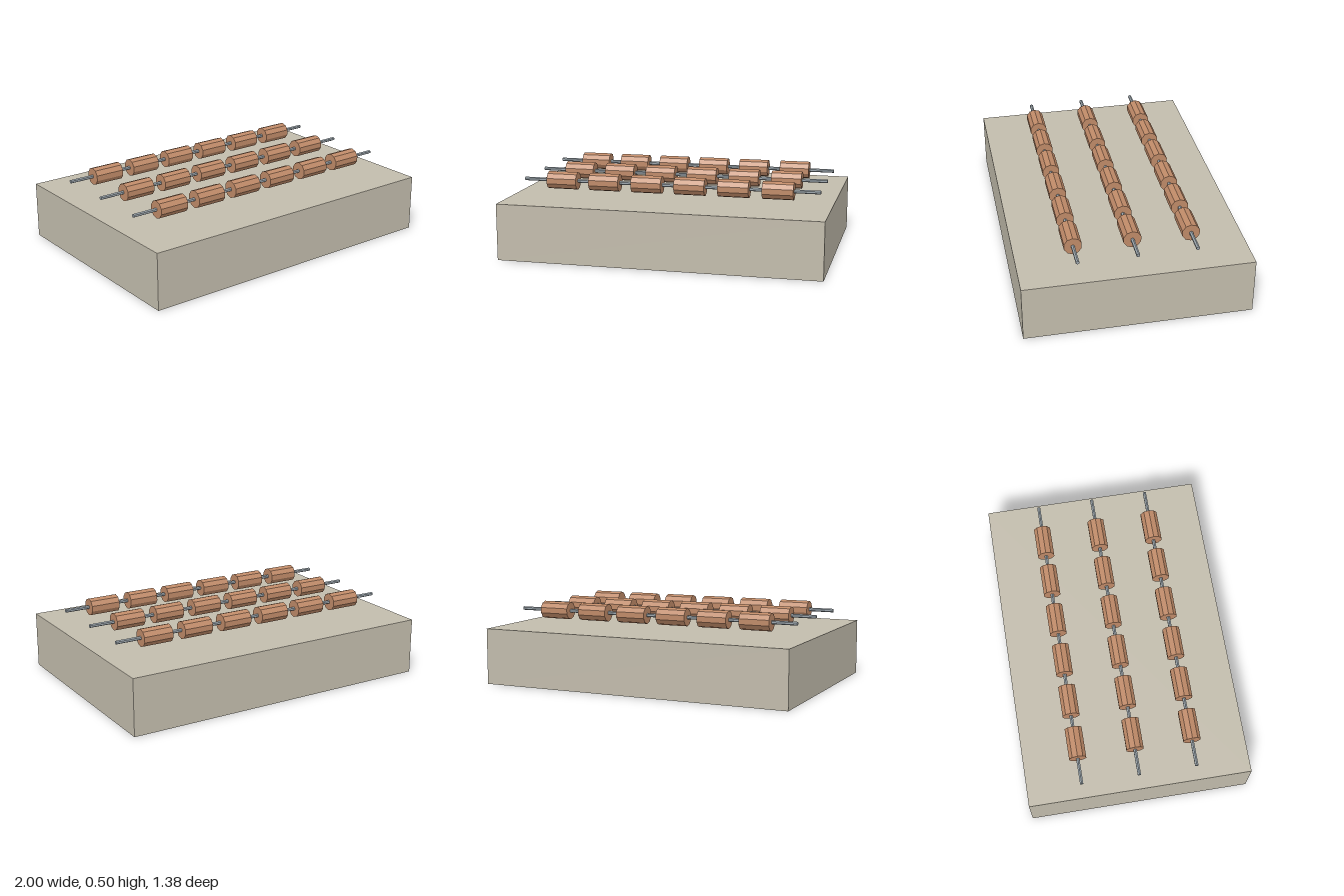
import * as THREE from 'three';

const stone = new THREE.MeshStandardMaterial({ name: 'warm grey', color: 0xc2bcac });
const copper = new THREE.MeshStandardMaterial({ name: 'copper', color: 0xbf8a68 });
const steel = new THREE.MeshStandardMaterial({ name: 'steel', color: 0x9ca6ad });
copper.flatShading = true;
steel.flatShading = true;

// Faceted cylinder lying along x with a corner pointing straight up
function lyingCylinder(radius, length, sides) {
  return new THREE.CylinderGeometry(radius, radius, length, sides)
    .rotateZ(Math.PI / 2)
    .rotateX(-Math.PI / 2);
}

export function createModel() {
  const model = new THREE.Group();
  model.name = 'rollerBed';

  function add(parent, name, geometry, material, x, y, z) {
    const mesh = new THREE.Mesh(geometry, material);
    mesh.name = name;
    mesh.position.set(x, y, z);
    parent.add(mesh);
  }

  // Solid base block
  add(model, 'base', new THREE.BoxGeometry(2, 0.352, 1.376), stone, 0, 0.176, 0);

  // Three rods, each threaded through six rollers
  const rod = lyingCylinder(0.0115, 1.87, 6);
  const roller = lyingCylinder(0.055, 0.19, 10);
  for (const z of [-0.352, 0, 0.352]) {
    const row = new THREE.Group();
    row.name = 'rollerRow';
    row.position.set(0, 0.45, z);
    add(row, 'rod', rod, steel, 0, 0, 0);
    for (let i = 0; i < 6; i++) add(row, 'roller', roller, copper, (i - 2.5) * 0.272, 0, 0);
    model.add(row);
  }

  // Rod-end discs visible on the outer roller faces are the rods themselves
  return model;
}
